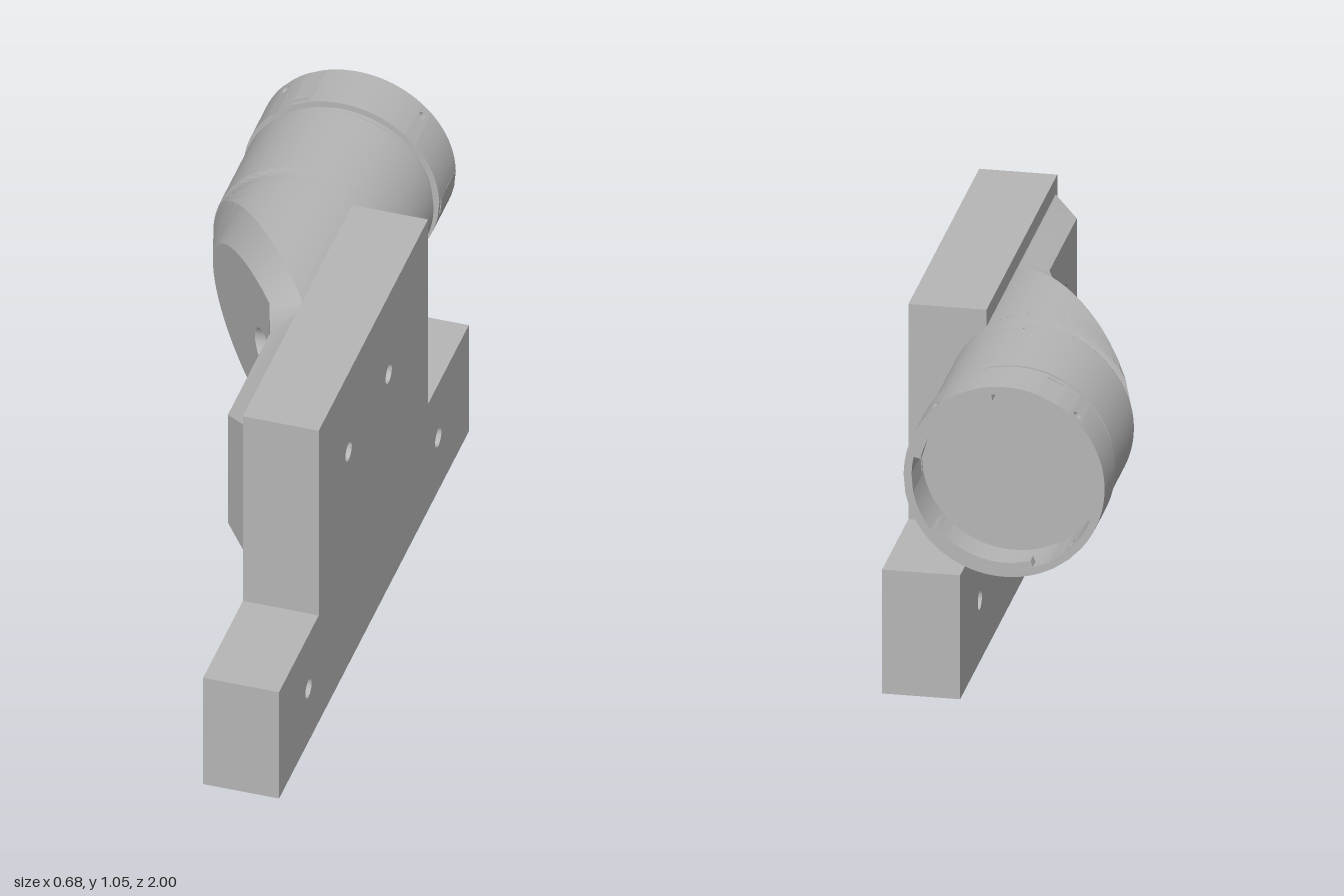
import * as THREE from 'three';
import { toCreasedNormals } from 'three/addons/utils/BufferGeometryUtils.js';

const CX = -0.05, CY = 0.76, R = 0.283;   // tube axis and radius
const PLATE_X = 0.117, BORE = 0.06;
const lerp = THREE.MathUtils.mapLinear;
const rad = THREE.MathUtils.degToRad;
const grey = new THREE.MeshStandardMaterial({ color: 0xb6b6b6, side: THREE.DoubleSide });
grey.name = 'matte grey';

function add(group, name, geometry) {
  const mesh = new THREE.Mesh(toCreasedNormals(geometry, 0.5), grey);
  mesh.name = name;
  group.add(mesh);
}

// Surface through rows of [x, y, z] points
function grid(rows) {
  const n = rows[0].length, index = [];
  for (let i = 0; i < rows.length - 1; i++) {
    for (let j = 0; j < n - 1; j++) {
      const a = i * n + j, b = a + n;
      index.push(a, b, a + 1, b, b + 1, a + 1);
    }
  }
  const g = new THREE.BufferGeometry();
  g.setAttribute('position', new THREE.Float32BufferAttribute(rows.flat(2), 3));
  g.setIndex(index);
  return g;
}

// Lathe around the tube axis; profile is [radius, z]
function turned(profile, start = 0, length = Math.PI * 2, segments = 72) {
  const pts = profile.map(([r, z]) => new THREE.Vector2(r, z));
  return new THREE.LatheGeometry(pts, segments, start + Math.PI / 2, length)
    .rotateX(Math.PI / 2).translate(CX, CY, 0);
}

// Slanted cap: its x, its half height, and the x where the chamfer meets the tube
function capX(z) {
  if (z <= -0.39) return lerp(z, -0.53, -0.39, -0.333, -0.29);
  if (z <= 0) return lerp(z, -0.39, 0, -0.29, 0);
  if (z <= 0.12) return lerp(z, 0, 0.12, 0, 0.04);
  return z <= 0.52 ? 0.04 : lerp(z, 0.52, 0.6, 0.04, PLATE_X);
}
function capHalf(z) {
  if (z > 0.52) return lerp(z, 0.52, 0.6, 0.193, 0.2285);
  return 0.208 * Math.sqrt(Math.max(0, 1 - ((capX(z) - CX) / 0.24) ** 2));
}
function chamferX(z) {
  if (z > 0.52) return lerp(z, 0.52, 0.6, 0.11, PLATE_X);
  return Math.min(0.11, lerp(z, -0.53, 0.02, -0.333, 0.11));
}

// Angle on the tube wall at a given x
function wallAngle(x) {
  return Math.acos(THREE.MathUtils.clamp((x - CX) / R, -1, 1));
}

// One half of the chamfer and tube wall between the given stations
function sideLoft(zs, endX, sign) {
  return grid(zs.map(z => {
    const a0 = wallAngle(chamferX(z)), a1 = wallAngle(endX);
    const row = [[capX(z), CY + sign * capHalf(z), z]];
    for (let i = 0; i <= 24; i++) {
      const a = a0 + (a1 - a0) * i / 24;
      row.push([CX + R * Math.cos(a), CY + sign * R * Math.sin(a), z]);
    }
    return row;
  }));
}

function arc(z, from, to) {
  return Array.from({ length: 25 }, (_, i) => {
    const a = from + (to - from) * i / 24;
    return new THREE.Vector2(z + BORE * Math.cos(a), CY + BORE * Math.sin(a));
  });
}

// Flat piece of the cap, drawn in z and y, then pushed onto the slope
function capPanel(zs, { right = [], left = [], hole } = {}) {
  const top = zs.map(z => new THREE.Vector2(z, CY + capHalf(z)));
  const bottom = zs.map(z => new THREE.Vector2(z, CY - capHalf(z))).reverse();
  if (capHalf(zs[0]) < 0.001) bottom.pop();
  const shape = new THREE.Shape([...top, ...right, ...bottom, ...left]);
  if (hole) shape.holes.push(new THREE.Path(hole));
  const g = new THREE.ShapeGeometry(shape), p = g.attributes.position;
  for (let i = 0; i < p.count; i++) p.setXYZ(i, capX(p.getX(i)), p.getY(i), p.getX(i));
  return g;
}

function rectPath(C, x0, y0, x1, y1) {
  return new C([[x0, y0], [x1, y0], [x1, y1], [x0, y1]].map(p => new THREE.Vector2(...p)));
}

export function createModel() {
  const model = new THREE.Group();
  model.name = 'tubeMount';
  const full = Math.PI * 2;

  // Stepped mounting plate with four through holes
  const outline = [[-1, 0], [0.8, 0], [0.8, 0.38], [0.413, 0.38], [0.413, 1.04],
    [-0.623, 1.04], [-0.623, 0.38], [-1, 0.38]];
  const plate = new THREE.Shape(outline.map(p => new THREE.Vector2(...p)));
  for (const [z, y] of [[0.34, 0.76], [-0.04, 0.76], [0.72, 0.19], [-0.51, 0.19]]) {
    plate.holes.push(new THREE.Path().absarc(-z, y, 0.03, 0, full));
  }
  add(model, 'mountingPlate',
    new THREE.ExtrudeGeometry(plate, { depth: 0.226, bevelEnabled: false, curveSegments: 16 })
      .rotateY(Math.PI / 2).translate(PLATE_X, 0, 0));

  // Tapered bracket joining tube and plate
  const bracket = new THREE.Group();
  bracket.name = 'bracket';
  model.add(bracket);
  const slope = Array.from({ length: 17 }, (_, i) => -0.39 + 0.39 * (i / 16) ** 2);
  for (const sign of [1, -1]) {
    add(bracket, 'bracketRearSide', sideLoft([-0.53, -0.49, -0.45, -0.413], CX + R, sign));
    add(bracket, 'bracketFrontSide', sideLoft([-0.413, ...slope, 0.02, 0.12, 0.52, 0.6], PLATE_X, sign));
  }
  const a0 = Math.acos(0.04 / BORE);
  add(bracket, 'slopedFace', capPanel(slope, { right: arc(-0.04, a0, full - a0) }));
  add(bracket, 'shallowFace', capPanel([0, 0.02, 0.12], { left: arc(-0.04, -a0, a0) }));
  add(bracket, 'flatFace', capPanel([0.12, 0.52], { hole: arc(0.34, 0, full).slice(0, 24) }));
  add(bracket, 'frontBevel', capPanel([0.52, 0.6]));

  // Screw access bores through the bracket
  for (const z of [0.34, -0.04]) {
    const rim = arc(z, 0, full);
    add(bracket, 'accessBore', grid([
      rim.map(p => [capX(p.x), p.y, p.x]),
      rim.map(p => [PLATE_X, p.y, p.x]),
    ]));
  }

  // Tube, neck groove and the socket floor
  add(model, 'tube', turned([[R, -0.53], [R, -0.815], [0.265, -0.815], [0.265, -0.83],
    [0.272, -0.83], [0.272, -0.85], [0, -0.85]]));

  // Socket ring: plain sectors alternate with small pierced panels
  const ring = new THREE.Group();
  ring.name = 'socketRing';
  model.add(ring);
  const OUT = 0.291, IN = 0.268, BACK = -0.843, FRONT = -1;
  const wall = [[OUT, BACK], [OUT, FRONT], [IN, FRONT], [IN, BACK], [OUT, BACK]];
  const panels = [[45, 4], [115, 6, true], [135, 4], [225, 4], [235, 6, true], [315, 4], [355, 6, true]]
    .map(([angle, half, slot]) => ({ angle, half, slot }));
  panels.forEach((p, i) => {
    const next = panels[(i + 1) % panels.length];
    const from = p.angle + p.half;
    const to = next.angle - next.half + (i === panels.length - 1 ? 360 : 0);
    if (to > from) {
      add(ring, 'ringSector', turned(wall, rad(from), rad(to - from), Math.max(2, Math.ceil((to - from) / 4))));
    }
    const w = Math.sin(rad(p.half)) * OUT;
    const shape = rectPath(THREE.Shape, -w, FRONT, w, BACK);
    shape.holes.push(p.slot ? rectPath(THREE.Path, -0.025, -0.868, 0.025, -0.858)
      : new THREE.Path().absarc(0, -0.963, 0.013, 0, full));
    // Stand the panel on the ring: width runs around, height along z, depth outward
    const g = new THREE.ExtrudeGeometry(shape, { depth: OUT - IN, bevelEnabled: false })
      .applyMatrix4(new THREE.Matrix4().makeBasis(
        new THREE.Vector3(0, 1, 0), new THREE.Vector3(0, 0, 1), new THREE.Vector3(1, 0, 0)))
      .translate(IN - 0.001, 0, 0).rotateZ(rad(p.angle)).translate(CX, CY, 0);
    add(ring, 'piercedPanel', g);
  });

  // Three bayonet lugs inside the mouth, each with a stop and closed ends
  for (const a of [12, 132, 252]) {
    const lug = [[0.269, -0.96], [0.269, -0.999], [0.248, -0.999], [0.248, -0.96], [0.269, -0.96]];
    add(ring, 'bayonetLug', turned(lug, rad(a), rad(70), 18));
    const stop = [[0.269, -0.9], [0.269, -0.98], [0.248, -0.98], [0.248, -0.9], [0.269, -0.9]];
    add(ring, 'lugStop', turned(stop, rad(a + 66), rad(4), 2));
    for (const [end, back] of [[a, -0.96], [a + 66, -0.9], [a + 70, -0.9]]) {
      const c = Math.cos(rad(end)), s = Math.sin(rad(end));
      add(ring, 'lugEnd', grid([back, -0.999].map(z =>
        [0.248, 0.269].map(r => [CX + r * c, CY + r * s, z]))));
    }
  }
  return model;
}
